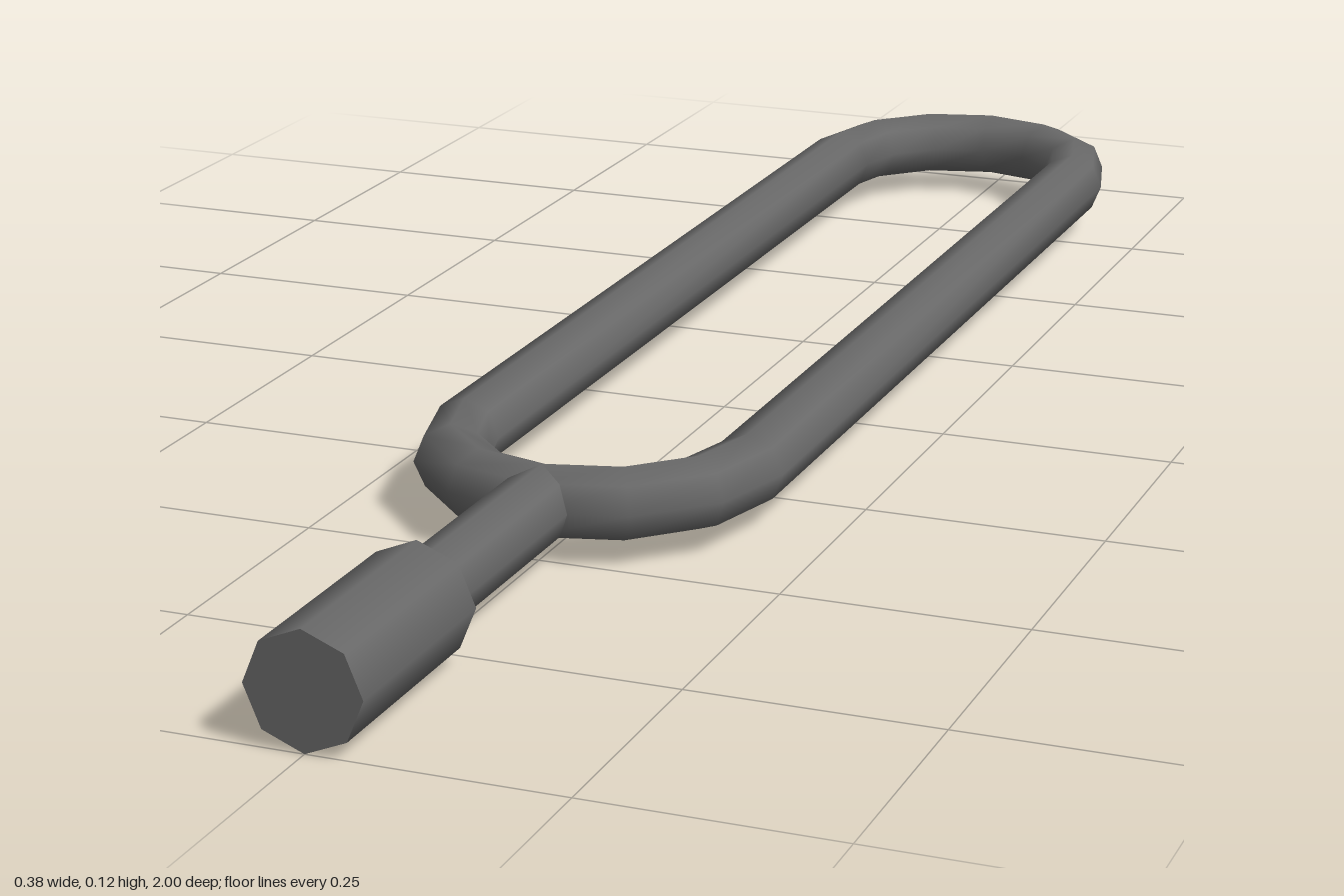
import * as THREE from 'three';

const SIDES = 8;      // sides of every round section
const ROD = 0.038;    // rod radius
const BEND = 0.154;   // centreline radius of the loop ends
const AXIS_Y = 0.058; // height of the centreline

// Closed stadium loop: octagonal rings swept round two half circles
function loopGeometry(frontZ, backZ, steps) {
  const positions = [], index = [];
  const rings = 2 * (steps + 1);
  for (let i = 0; i < rings; i++) {
    const back = i > steps;
    const a = (Math.PI * (back ? i - 1 : i)) / steps;
    const centreZ = back ? backZ : frontZ;
    for (let j = 0; j < SIDES; j++) {
      const b = (j / SIDES) * Math.PI * 2;
      const d = BEND + ROD * Math.cos(b);
      positions.push(d * Math.cos(a), AXIS_Y + ROD * Math.sin(b), centreZ + d * Math.sin(a));
      const j2 = (j + 1) % SIDES, n = (i + 1) % rings;
      const p = i * SIDES + j, q = i * SIDES + j2, r = n * SIDES + j, s = n * SIDES + j2;
      index.push(p, q, r, q, s, r);
    }
  }
  const geometry = new THREE.BufferGeometry();
  geometry.setAttribute('position', new THREE.Float32BufferAttribute(positions, 3));
  geometry.setIndex(index);
  geometry.computeVertexNormals();
  return geometry;
}

// Capped cylinder lying along z
function rodGeometry(radius, z0, z1) {
  return new THREE.CylinderGeometry(radius, radius, z1 - z0, SIDES)
    .rotateX(Math.PI / 2)
    .translate(0, AXIS_Y, (z0 + z1) / 2);
}

export function createModel() {
  const group = new THREE.Group();
  group.name = 'loopTool';
  const metal = new THREE.MeshStandardMaterial({ color: 0x686868 });
  metal.name = 'darkGreyMetal';

  const add = (name, geometry) => {
    const mesh = new THREE.Mesh(geometry, metal);
    mesh.name = name;
    group.add(mesh);
  };

  add('loop', loopGeometry(0.335, -0.808, 6));
  add('stem', rodGeometry(ROD, 0.49, 0.78));
  add('handle', rodGeometry(0.058, 0.77, 1));
  return group;
}
